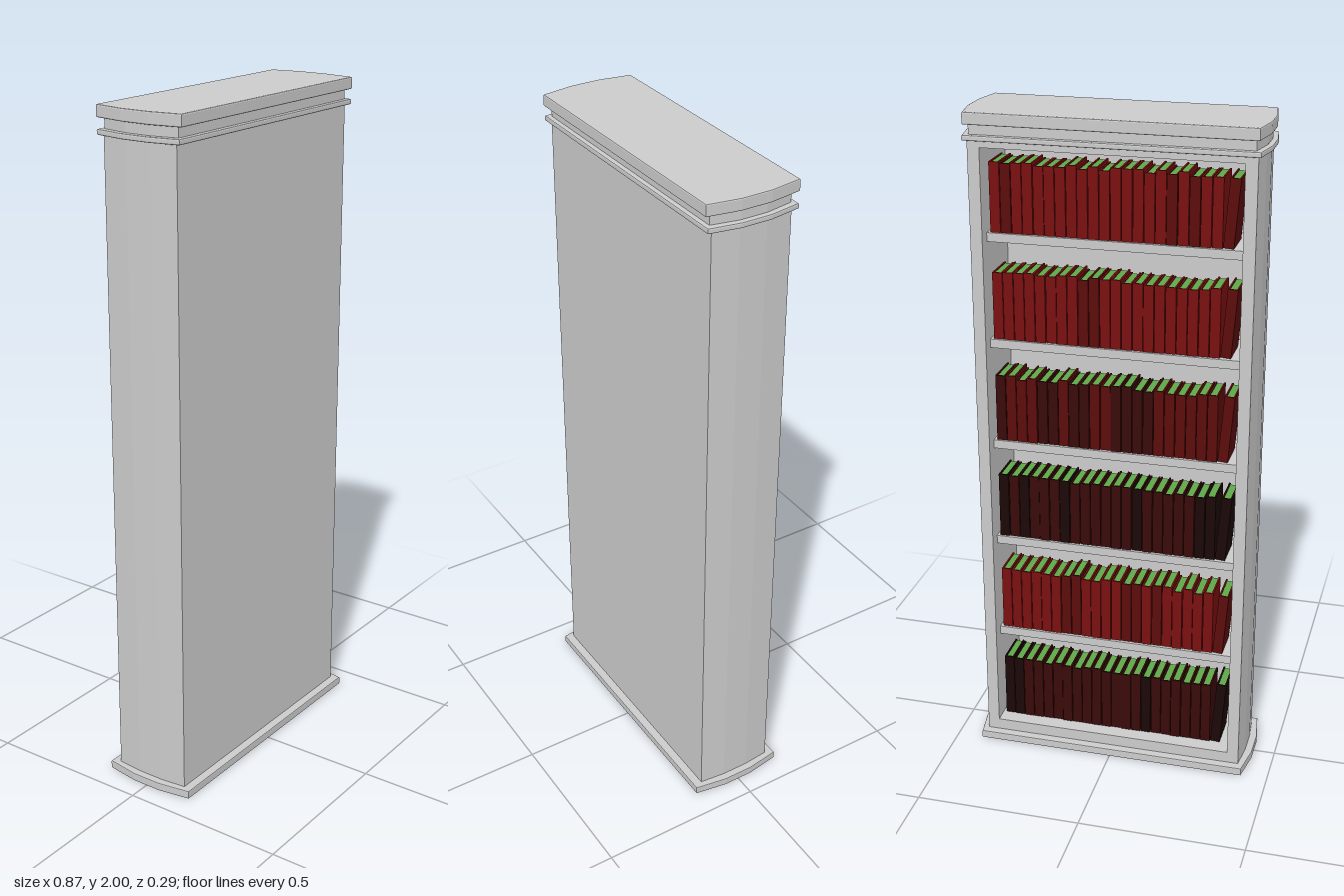
import * as THREE from 'three';

const wood = new THREE.MeshStandardMaterial({ color: 0xcccccc });
const pageMat = new THREE.MeshStandardMaterial({ color: 0x5fa84a });
const coverMats = [0x7a1010, 0x5c0c0c, 0x3a0a0a, 0x1c0808].map(
  (color) => new THREE.MeshStandardMaterial({ color }));

// Extrude a plan outline of [x, z] points upwards from y0 to y1
function extrudePlan(points, y0, y1, bevel = 0) {
  const shape = new THREE.Shape(points.map(([x, z]) => new THREE.Vector2(x, -z)));
  const geo = new THREE.ExtrudeGeometry(shape, {
    depth: y1 - y0 - 2 * bevel, bevelEnabled: bevel > 0,
    bevelThickness: bevel, bevelSize: bevel, bevelOffset: -bevel, bevelSegments: 2,
  });
  geo.rotateX(-Math.PI / 2);
  geo.translate(0, y0 + bevel, 0);
  return geo;
}

// Moulding slab with slightly bowed ends
function slab(y0, y1, hx, hz, bevel) {
  const e = hx - 0.016, m = hz * 0.32;
  return extrudePlan([[e, hz], [hx, m], [hx, -m], [e, -hz],
    [-e, -hz], [-hx, -m], [-hx, m], [-e, hz]], y0, y1, bevel);
}

// Box given by its limits
function box(x0, x1, y0, y1, z0, z1) {
  const geo = new THREE.BoxGeometry(x1 - x0, y1 - y0, z1 - z0);
  geo.translate((x0 + x1) / 2, (y0 + y1) / 2, (z0 + z1) / 2);
  return geo;
}

function add(parent, name, geo, mat = wood) {
  const mesh = new THREE.Mesh(geo, mat);
  mesh.name = name;
  parent.add(mesh);
  return mesh;
}

// Book standing on its base: spine towards -z, two covers and a page block
function makeBook(w, h, d, mat) {
  const book = new THREE.Group();
  const t = w * 0.17;
  const a = w / 2, b = a - t;
  add(book, 'cover', extrudePlan([[-a, 0], [a, 0], [a, d], [b, d],
    [b, t], [-b, t], [-b, d], [-a, d]], 0, h), mat);
  add(book, 'pages', box(-b, b, 0.004, h - 0.003, t, d - 0.004), pageMat);
  return book;
}

export function createModel() {
  const model = new THREE.Group();
  model.name = 'bookcase';
  let seed = 7;
  const rand = () => (seed = (seed * 16807) % 2147483647) / 2147483647;

  const inner = 0.37, floorY = 0.06, pitch = 0.318;

  // Base and cornice mouldings
  add(model, 'plinth', slab(0, 0.025, 0.435, 0.146, 0.003));
  add(model, 'lowerMoulding', slab(1.92, 1.936, 0.43, 0.136, 0.004));
  add(model, 'corniceNeck', slab(1.936, 1.965, 0.415, 0.122, 0));
  add(model, 'corniceTop', slab(1.965, 2, 0.426, 0.14, 0.004));

  // Bowed side walls
  for (const s of [1, -1]) {
    const outline = [[inner, 0.12], [0.405, 0.12], [0.413, 0.04],
      [0.413, -0.04], [0.405, -0.12], [inner, -0.12]];
    add(model, s > 0 ? 'leftSide' : 'rightSide',
      extrudePlan(outline.map(([x, z]) => [x * s, z]), 0.025, 1.92));
  }

  // Closed panel, bottom board and header
  add(model, 'panel', box(-inner, inner, 0.025, 1.92, 0.1, 0.12));
  add(model, 'bottomBoard', box(-inner, inner, 0.025, floorY, -0.12, 0.1));
  add(model, 'header', box(-inner, inner, 1.9, 1.92, -0.12, 0.1));

  // Shelves with their rows of books
  const rowTones = [2, 0, 2, 1, 0, 0];
  for (let i = 0; i < 6; i++) {
    const y = floorY + i * pitch;
    if (i > 0) add(model, 'shelf', box(-inner, inner, y - 0.026, y, -0.08, 0.1));

    const row = new THREE.Group();
    row.name = 'bookRow';
    row.position.y = y;
    model.add(row);
    const count = 22, step = 0.0318;
    for (let k = 0; k < count; k++) {
      const tone = rowTones[i] + (rand() < 0.25 ? 1 : 0);
      const book = makeBook(step - 0.002, 0.195 + rand() * 0.012, 0.11, coverMats[tone]);
      book.name = 'book';
      book.position.set(inner - 0.008 - (k + 0.5) * step, 0, -0.07 - rand() * 0.004);
      // The last book leans on the wall
      if (k === count - 1) {
        book.rotation.z = 0.08;
        book.position.y = 0.002;
      }
      row.add(book);
    }
  }
  return model;
}
